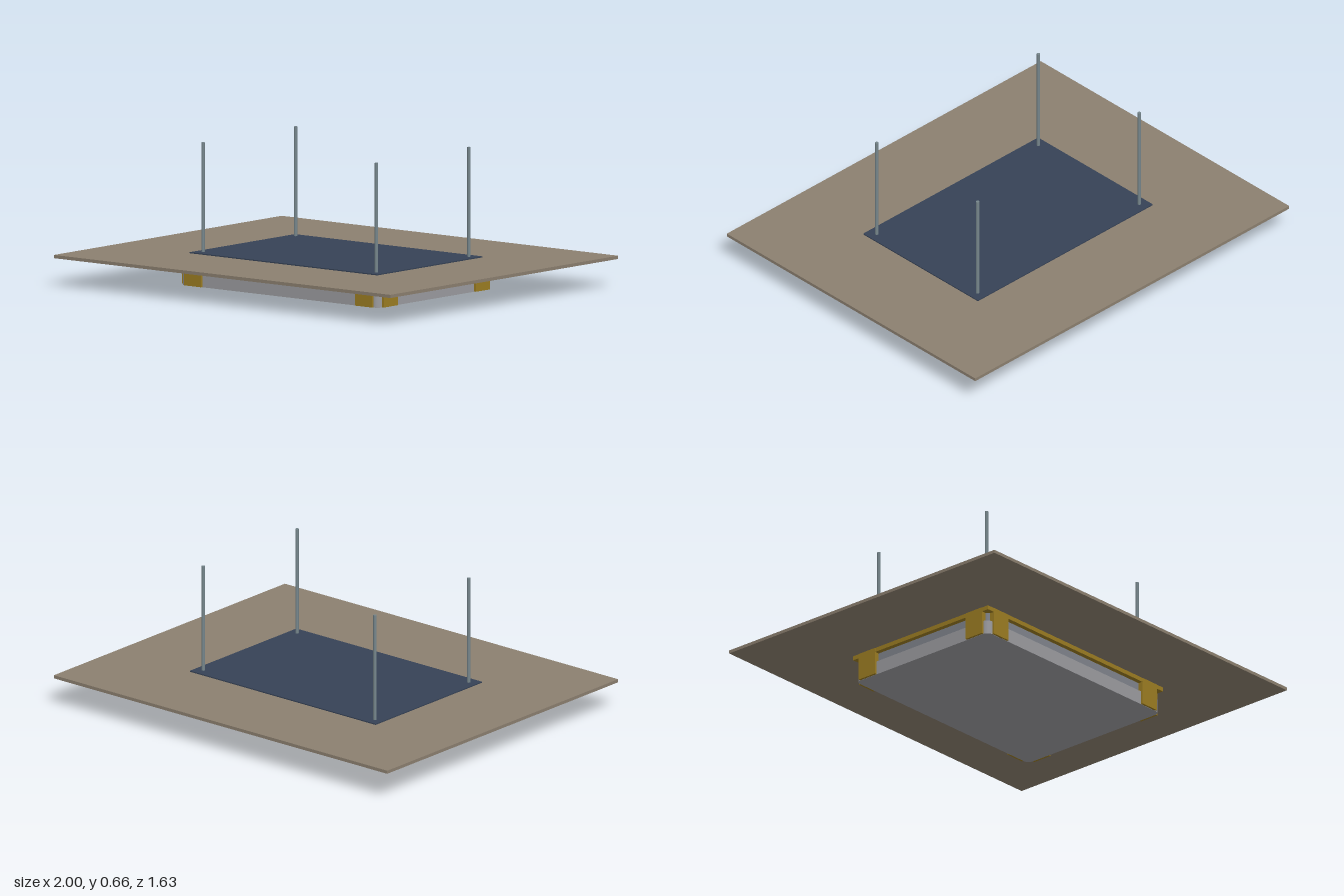
import * as THREE from 'three';

const mat = (color) => new THREE.MeshStandardMaterial({ color });
const gold = mat(0x9c7d22), tan = mat(0x8c8070), blue = mat(0x364256);
const silver = mat(0x9c9ca0), grey = mat(0x80848c), steel = mat(0x76868c);

export function createModel() {
  const model = new THREE.Group();

  const add = (name, geometry, material, x, y, z) => {
    const mesh = new THREE.Mesh(geometry, material);
    mesh.name = name;
    mesh.position.set(x, y, z);
    model.add(mesh);
    return mesh;
  };
  // box given by half width, half depth and its bottom and top heights
  const slab = (name, material, hx, hz, y0, y1, x = 0, z = 0) =>
    add(name, new THREE.BoxGeometry(hx * 2, y1 - y0, hz * 2), material, x, (y0 + y1) / 2, z);

  // slab with rounded vertical corners
  const roundedSlab = (name, material, hx, hz, y0, y1, r) => {
    const s = new THREE.Shape();
    s.absarc(hx - r, hz - r, r, 0, Math.PI / 2);
    s.absarc(-hx + r, hz - r, r, Math.PI / 2, Math.PI);
    s.absarc(-hx + r, -hz + r, r, Math.PI, Math.PI * 1.5);
    s.absarc(hx - r, -hz + r, r, Math.PI * 1.5, Math.PI * 2);
    const g = new THREE.ExtrudeGeometry(s, { depth: y1 - y0, bevelEnabled: false, curveSegments: 6 });
    g.rotateX(-Math.PI / 2);
    add(name, g, material, 0, y0, 0);
  };

  // wide sheet with the panel lying on it
  slab('sheet', tan, 1, 0.815, 0.13, 0.145);
  slab('topPanel', blue, 0.557, 0.376, 0.145, 0.15);

  // stepped tray under the sheet
  slab('mountingFrame', gold, 0.598, 0.414, 0.11, 0.13);
  roundedSlab('upperTray', grey, 0.575, 0.391, 0.065, 0.11, 0.02);
  roundedSlab('lowerTray', silver, 0.589, 0.405, 0, 0.065, 0.03);

  for (const sx of [-1, 1]) {
    for (const sz of [-1, 1]) {
      // pair of brackets beside each open corner
      slab('endBracket', gold, 0.0215, 0.05, 0.001, 0.13, sx * 0.5785, sz * 0.328);
      slab('sideBracket', gold, 0.05, 0.0195, 0.001, 0.13, sx * 0.508, sz * 0.3955);
      // hanging rod
      add('rod', new THREE.CylinderGeometry(0.008, 0.008, 0.507, 16), steel, sx * 0.515, 0.4025, sz * 0.331);
    }
  }
  return model;
}
